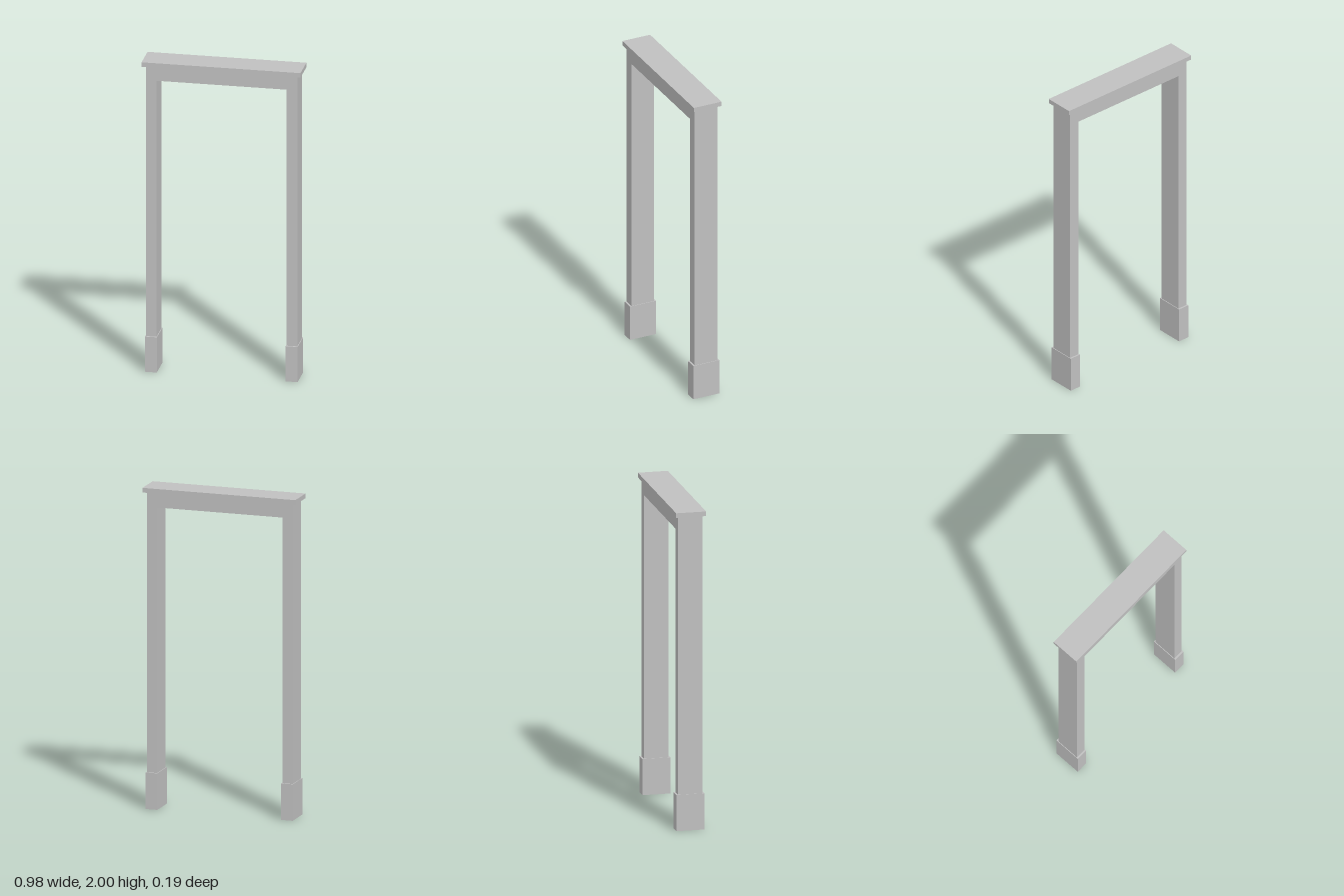
import * as THREE from 'three';

export function createModel() {
  const model = new THREE.Group();
  model.name = 'doorFrame';
  const grey = new THREE.MeshStandardMaterial({ color: 0xc0c0c0 });
  grey.name = 'paintedGrey';

  const add = (name, geometry, x, y, z) => {
    const mesh = new THREE.Mesh(geometry, grey);
    mesh.name = name;
    mesh.position.set(x, y, z);
    model.add(mesh);
  };

  // Jambs and lintel as one continuous outline
  const outer = 0.468, inner = 0.402, lintelBottom = 1.881, capBottom = 1.971, depth = 0.154;
  const outline = new THREE.Shape([
    [-outer, 0], [-inner, 0], [-inner, lintelBottom], [inner, lintelBottom],
    [inner, 0], [outer, 0], [outer, capBottom], [-outer, capBottom],
  ].map(([x, y]) => new THREE.Vector2(x, y)));
  add('frame', new THREE.ExtrudeGeometry(outline, { depth, bevelEnabled: false }), 0, 0, -depth / 2);

  // Overhanging top board
  add('cap', new THREE.BoxGeometry(0.982, 2 - capBottom, 0.187), 0, (2 + capBottom) / 2, 0);

  // Plinth block around the foot of each jamb
  const plinthHeight = 0.227;
  for (const [name, side] of [['leftPlinth', 1], ['rightPlinth', -1]]) {
    add(name, new THREE.BoxGeometry(0.074, plinthHeight, 0.176), side * 0.435, plinthHeight / 2, 0);
  }
  return model;
}
